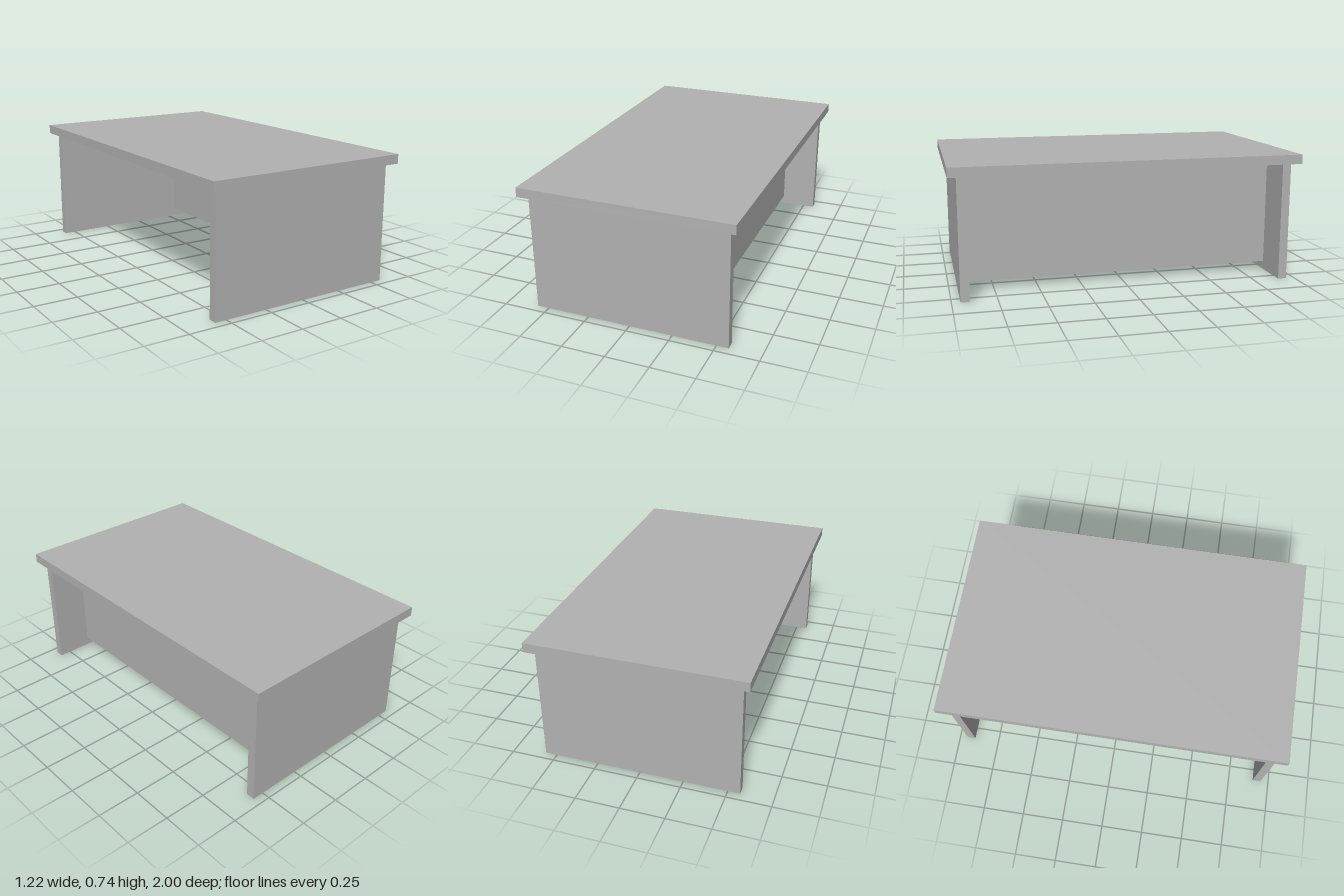
import * as THREE from 'three';

const TOP_Y = 0.742, UNDER_Y = 0.688; // tabletop surface and underside

export function createModel() {
  const desk = new THREE.Group();
  desk.name = 'desk';
  const grey = new THREE.MeshStandardMaterial({ color: 0xb2b2b2 });
  grey.name = 'grey';

  // Adds a box spanning the given ranges on each axis
  function addBoard(name, [x0, x1], [y0, y1], [z0, z1]) {
    const board = new THREE.Mesh(new THREE.BoxGeometry(x1 - x0, y1 - y0, z1 - z0), grey);
    board.position.set((x0 + x1) / 2, (y0 + y1) / 2, (z0 + z1) / 2);
    board.name = name;
    desk.add(board);
  }

  addBoard('tabletop', [-0.61, 0.61], [UNDER_Y, TOP_Y], [-1, 1]);

  // Slab legs at both ends
  addBoard('frontLeg', [-0.568, 0.568], [0, UNDER_Y], [0.902, 0.952]);
  addBoard('backLeg', [-0.568, 0.568], [0, UNDER_Y], [-0.952, -0.902]);

  // Panel between the legs, set in from the left edge and raised off the floor
  addBoard('modestyPanel', [0.302, 0.353], [0.05, UNDER_Y], [-0.902, 0.902]);

  return desk;
}
